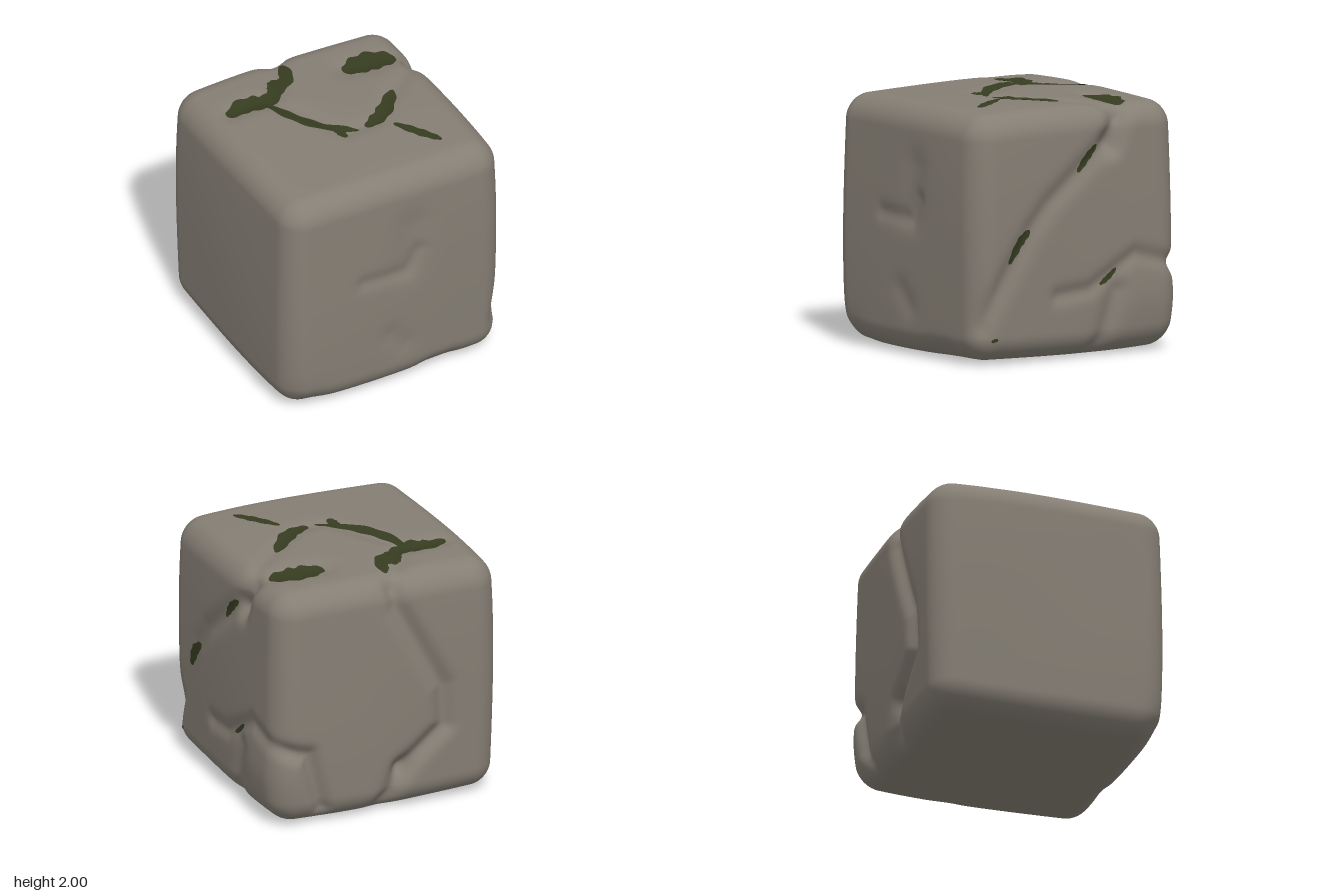
import * as THREE from 'three';
import { mergeVertices } from 'three/addons/utils/BufferGeometryUtils.js';

const V = (x, y, z) => new THREE.Vector3(x, y, z);
const HALF = V(0.985, 1, 0.995);
const ROUND = 0.2;
const FLAT = 1 - ROUND;

// Each face turns two coordinates into a point on the unit cube
const right = (z, y) => V(1, y - 1, z);
const back = (x, y) => V(x, y - 1, -1);
const front = (x, y) => V(x, y - 1, 1);
const top = (x, z) => V(x, 1, z);

// A groove follows a path over a face; a negative depth makes a swelling
const groove = (face, reach, depth, ...points) =>
  ({ reach, depth, path: points.map(([u, v]) => face(u, v)) });

// Right side: diagonal crack, notch in the top edge, swollen lower corner
const rightGrooves = [
  groove(right, 0.09, 0.04, [0.95, 0.3], [0.47, 1.05], [0.3, 1.25], [-0.27, 1.7]),
  groove(right, 0.09, 0.08, [-0.33, 1.68], [-0.45, 2]),
  groove(right, 0.07, 0.03, [0.2, 0.5], [-0.1, 0.53], [-0.55, 0.78], [-1, 0.66]),
  groove(right, 0.09, 0.035, [-0.36, 0.5], [-0.2, 0]),
  groove(right, 0.24, -0.025, [-0.62, 0.4], [-0.95, 0.36]),
];
// Back: long hooked crack and the edge of the swollen corner
const backGrooves = [
  groove(back, 0.08, 0.065, [-0.05, 2], [-0.08, 1.75], [-0.48, 1], [-0.5, 0.65], [-0.12, 0.34]),
  groove(back, 0.09, 0.06, [-0.12, 0.34], [0.05, 0]),
  groove(back, 0.07, 0.06, [1, 0.68], [0.72, 0.6], [0.6, 0.1]),
];
// Front: shallow chips
const frontGrooves = [
  groove(front, 0.07, 0.02, [-0.3, 1.1], [0.1, 1.08], [0.2, 1.25]),
  groove(front, 0.16, 0.02, [0.1, 1.15], [0.15, 1.5]),
  groove(front, 0.1, 0.015, [-0.05, 0.5], [0.06, 0.38]),
  groove(front, 0.12, 0.03, [0.35, 0], [0.5, 0]),
  groove(front, 0.15, 0.03, [-0.8, 0], [-0.95, 0.05]),
];
// Top: hollows in which the moss grows
const topGrooves = [
  groove(top, 0.1, 0.03, [-0.7, -0.45], [-0.3, -0.5], [-0.05, -1]),
  groove(top, 0.08, 0.02, [-0.37, -0.4], [-0.03, 0.24], [0.25, 0.22], [0.95, -0.4]),
  groove(top, 0.13, 0.03, [0.4, -0.53], [0.82, -0.51]),
];
const grooves = [...rightGrooves, ...backGrooves, ...frontGrooves, ...topGrooves];

// Moves a point of the unit cube onto the worn stone; lift raises it off the face
function stonePoint(p, lift) {
  const q = p.clone().clamp(V(-FLAT, -FLAT, -FLAT), V(FLAT, FLAT, FLAT));
  const out = p.clone().sub(q).normalize();
  q.addScaledVector(out, ROUND);

  let push = lift + 0.012 * Math.sin(2.6 * q.x) * Math.sin(2.6 * q.y) * Math.sin(2.6 * q.z);
  const segment = new THREE.Line3(), near = V(0, 0, 0);
  for (const { path, reach, depth } of grooves) {
    let best = Infinity;
    for (let i = 1; i < path.length; i++) {
      segment.set(path[i - 1], path[i]).closestPointToPoint(q, true, near);
      best = Math.min(best, near.distanceToSquared(q));
    }
    push -= depth * Math.exp(-best / (reach * reach));
  }

  // Faces bow gently outward in the middle
  const bow = (a, b) => 1 - 0.022 * (a * a + b * b);
  return V(q.x * bow(q.y, q.z), q.y * bow(q.x, q.z), q.z * bow(q.x, q.y))
    .multiply(HALF).addScaledVector(out, push);
}

// Rounded block with carved faces
function stoneGeometry() {
  const box = new THREE.BoxGeometry(2, 2, 2, 90, 90, 90);
  box.deleteAttribute('uv');
  box.deleteAttribute('normal');
  const g = mergeVertices(box, 1e-4);
  const pos = g.attributes.position;
  for (let i = 0; i < pos.count; i++) {
    const p = stonePoint(V(0, 0, 0).fromBufferAttribute(pos, i), 0);
    pos.setXYZ(i, p.x, p.y, p.z);
  }
  g.computeVertexNormals();
  return g;
}

// Moss strip draped over a face, tapering to both ends
function mossGeometry(face, width, points) {
  const curve = new THREE.SplineCurve(points.map(([u, v]) => new THREE.Vector2(u, v)));
  const along = 40, across = 8;
  const g = new THREE.PlaneGeometry(1, 1, along, across);
  const pos = g.attributes.position;
  for (let i = 0; i < pos.count; i++) {
    const t = THREE.MathUtils.clamp(pos.getX(i) + 0.5, 0, 1);
    const c = curve.getPoint(t), dir = curve.getTangent(t);
    const taper = Math.pow(Math.sin(Math.PI * t), 0.6) || 0;
    const s = 2 * pos.getY(i) * (0.004 + width * taper * (1 + 0.12 * Math.sin(25 * t)));
    const p = stonePoint(face(c.x - dir.y * s, c.y + dir.x * s), 0.005);
    pos.setXYZ(i, p.x, p.y, p.z);
  }
  g.computeVertexNormals();
  return g;
}

export function createModel() {
  const stone = new THREE.MeshStandardMaterial({ color: 0x857e74 });
  stone.name = 'stone';
  const moss = new THREE.MeshStandardMaterial({ color: 0x363c20, side: THREE.DoubleSide });
  moss.name = 'moss';

  const model = new THREE.Group();
  model.name = 'mossyStoneBlock';
  const add = (name, geometry, material) => {
    const mesh = new THREE.Mesh(geometry, material);
    mesh.name = name;
    mesh.position.y = HALF.y;
    model.add(mesh);
  };
  const addMoss = (name, face, width, ...points) => add(name, mossGeometry(face, width, points), moss);

  add('stoneBlock', stoneGeometry(), stone);

  // Forked moss on the top
  addMoss('forkedMoss', top, 0.095, [-0.77, -0.43], [-0.6, -0.48], [-0.42, -0.46], [-0.24, -0.5]);
  addMoss('forkedMoss', top, 0.065, [-0.45, -0.44], [-0.25, -0.54], [-0.1, -0.65], [-0.05, -0.83]);
  addMoss('forkedMoss', top, 0.04, [-0.31, -0.5], [-0.24, -0.63], [-0.18, -0.68]);
  addMoss('forkedMoss', top, 0.05, [-0.43, -0.48], [-0.34, -0.2], [-0.18, 0.06], [0.07, 0.26]);
  addMoss('forkedMoss', top, 0.035, [-0.09, 0.14], [-0.07, 0.3]);

  // Separate moss patches on the top
  addMoss('mossPatch', top, 0.12, [0.36, -0.51], [0.6, -0.54], [0.85, -0.51]);
  addMoss('mossStrip', top, 0.065, [0.14, 0.25], [0.35, 0.15], [0.58, -0.1]);
  addMoss('mossStrip', top, 0.04, [0.35, 0.33], [0.48, 0.53], [0.6, 0.7]);

  // Moss in the cracks of the side
  addMoss('crackMoss', right, 0.037, [0.67, 0.79], [0.57, 0.96], [0.47, 1.05]);
  addMoss('crackMoss', right, 0.03, [0, 1.48], [-0.1, 1.6], [-0.2, 1.69]);
  addMoss('crackMoss', right, 0.018, [-0.21, 0.56], [-0.29, 0.61], [-0.37, 0.68]);
  addMoss('crackMoss', right, 0.011, [0.86, 0.165], [0.8, 0.185]);
  return model;
}
